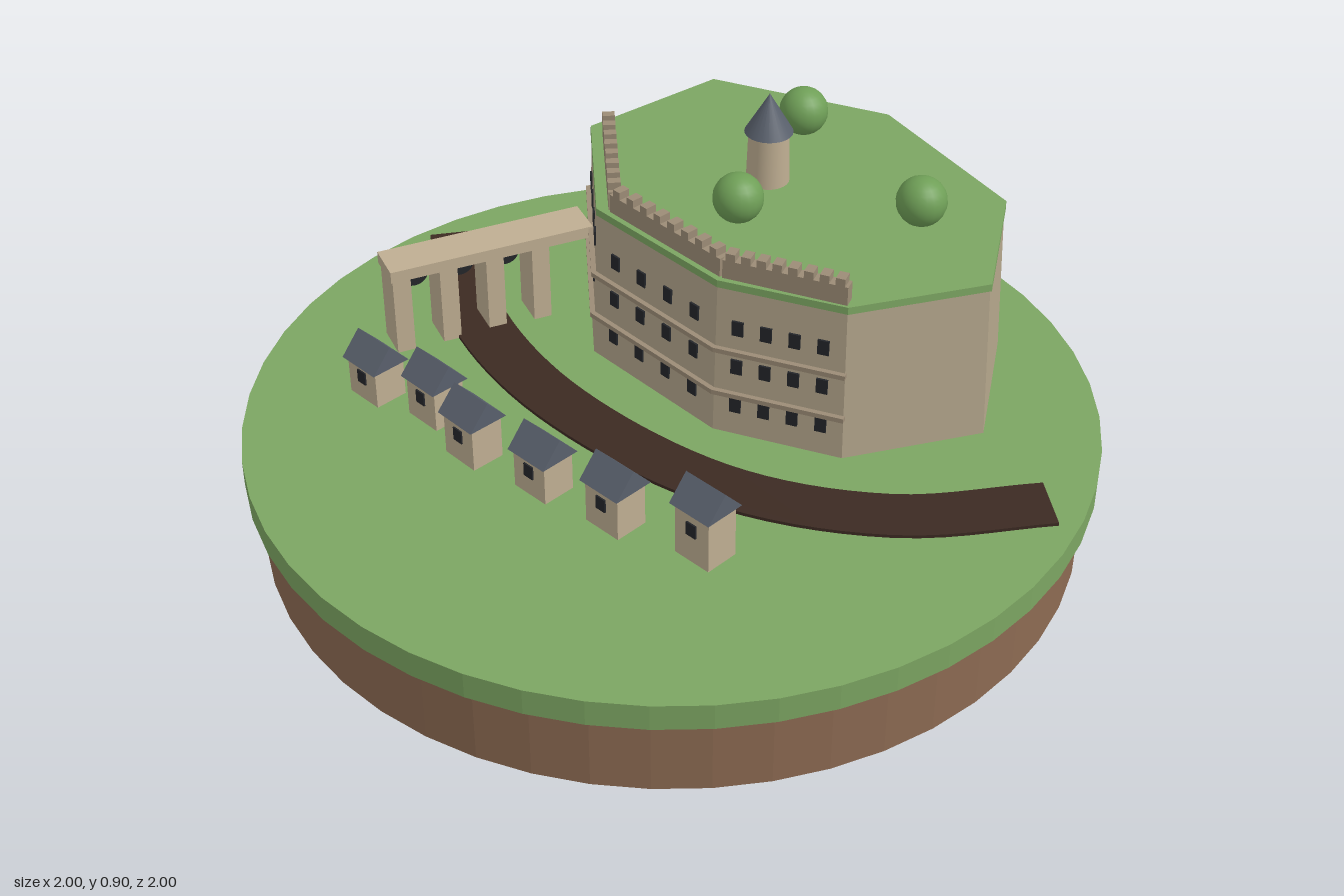
import * as THREE from 'three';

const mat = (name, color, extra = {}) => {
  const m = new THREE.MeshStandardMaterial({ color, ...extra });
  m.name = name;
  return m;
};

export function createModel() {
  const root = new THREE.Group();
  root.name = 'fortressIsland';
  const flat = { flatShading: true };
  const grass = mat('grass', 0x7ca562, flat);
  const earth = mat('earth', 0x8c6a52, flat);
  const rock = mat('rock', 0xb3a58b, flat);
  const stone = mat('paleStone', 0xbfae92);
  const trim = mat('trimStone', 0x9c8c76);
  const slate = mat('slate', 0x59606c);
  const dark = mat('darkOpening', 0x24262a);
  const road = mat('roadBrown', 0x3c2a22);
  const leaf = mat('foliage', 0x6f9f57);

  const add = (name, geo, m, x = 0, y = 0, z = 0, ry = 0, parent = root) => {
    const mesh = new THREE.Mesh(geo, m);
    mesh.name = name;
    mesh.position.set(x, y, z);
    mesh.rotation.y = ry;
    parent.add(mesh);
    return mesh;
  };
  const box = (w, h, d) => new THREE.BoxGeometry(w, h, d);
  const group = (name, x = 0, y = 0, z = 0, ry = 0) => {
    const g = new THREE.Group();
    g.name = name;
    g.position.set(x, y, z);
    g.rotation.y = ry;
    root.add(g);
    return g;
  };
  // heading of the line a-b, so that local +x runs from a to b
  const heading = (a, b) => -Math.atan2(b[1] - a[1], b[0] - a[0]);
  const mix = (a, b, t) => [a[0] + (b[0] - a[0]) * t, a[1] + (b[1] - a[1]) * t];
  const G = 0.265; // ground level

  // Island base
  add('earthBase', new THREE.CylinderGeometry(0.97, 0.97, 0.2, 48), earth, 0, 0.1);
  add('grassDisc', new THREE.CylinderGeometry(1, 1, G - 0.2, 48), grass, 0, (G + 0.2) / 2);

  // Tapered octagonal rock with a grass cap
  const C = [-0.03, -0.43];
  const outline = [[-0.13, -0.86], [0.35, -0.76], [0.565, -0.46], [0.41, -0.15],
    [0.13, -0.01], [-0.29, -0.01], [-0.6, -0.26], [-0.57, -0.66]];
  const shrink = (p, s) => mix(C, p, s);
  const frustum = (y0, y1, s0, s1) => {
    const v = [];
    const at = (p, s, y) => { const q = shrink(p, s); return [q[0], y, q[1]]; };
    outline.forEach((a, i) => {
      const b = outline[(i + 1) % outline.length];
      const a0 = at(a, s0, y0), b0 = at(b, s0, y0), a1 = at(a, s1, y1), b1 = at(b, s1, y1);
      v.push(...b0, ...a0, ...a1, ...b0, ...a1, ...b1);
      v.push(C[0], y1, C[1], ...b1, ...a1, C[0], y0, C[1], ...a0, ...b0);
    });
    const g = new THREE.BufferGeometry();
    g.setAttribute('position', new THREE.Float32BufferAttribute(v, 3));
    g.computeVertexNormals();
    return g;
  };
  const TOP = 0.67;
  add('rockWalls', frustum(G, 0.652, 1, 0.967), rock);
  add('plateauGrass', frustum(0.652, TOP, 0.975, 0.973), grass);

  // Windows and string courses on the three front faces
  const facade = group('facade');
  const front = [outline[6], outline[5], outline[4], outline[3]];
  const scaleAt = (y) => 1 - 0.033 * (y - G) / (0.652 - G);
  for (let i = 0; i < 3; i++) {
    const ry = heading(front[i], front[i + 1]);
    const edge = (y) => [shrink(front[i], scaleAt(y)), shrink(front[i + 1], scaleAt(y))];
    for (const y of [0.375, 0.49]) {
      const [a, b] = edge(y), m = mix(a, b, 0.5);
      add('stringCourse', box(Math.hypot(b[0] - a[0], b[1] - a[1]) + 0.006, 0.012, 0.024),
        trim, m[0], y, m[1], ry, facade);
    }
    for (const y of [0.345, 0.45, 0.553]) {
      const [a, b] = edge(y);
      for (let k = 0; k < 4; k++) {
        const p = mix(a, b, 0.17 + 0.22 * k);
        add('window', box(0.027, 0.038, 0.009), dark, p[0], y, p[1], ry, facade);
      }
    }
  }

  // Battlements
  const parapet = group('battlements');
  const path = [[-0.53, -0.275], [-0.25, -0.05], [0.12, -0.05], [0.385, -0.175]];
  for (let i = 0; i < 3; i++) {
    const a = path[i], b = path[i + 1], ry = heading(a, b), m = mix(a, b, 0.5);
    const len = Math.hypot(b[0] - a[0], b[1] - a[1]);
    add('parapetWall', box(len, 0.047, 0.03), trim, m[0], TOP + 0.0235, m[1], ry, parapet);
    for (let k = 0; k < 8; k++) {
      const p = mix(a, b, (k + 0.5) / 8);
      add('merlon', box(0.022, 0.02, 0.03), trim, p[0], TOP + 0.056, p[1], ry, parapet);
    }
  }

  // Round tower and trees on the plateau
  add('towerShaft', new THREE.CylinderGeometry(0.048, 0.052, 0.135, 24), stone, -0.11, 0.735, -0.41);
  add('towerRoof', new THREE.ConeGeometry(0.058, 0.1, 24), slate, -0.11, 0.85, -0.41);
  for (const [x, z] of [[-0.215, -0.635], [0.265, -0.535], [-0.03, -0.235]])
    add('tree', new THREE.SphereGeometry(0.06, 20, 14), leaf, x, 0.726, z);

  // Curved road
  const curve = new THREE.CatmullRomCurve3([[-0.93, -0.09], [-0.62, 0.1], [-0.2, 0.19],
    [0.3, 0.125], [0.63, -0.08], [0.84, -0.37]].map(([x, z]) => new THREE.Vector3(x, -z, 0)));
  const left = [], right = [];
  for (let i = 0; i <= 40; i++) {
    const p = curve.getPointAt(i / 40), t = curve.getTangentAt(i / 40);
    left.push(new THREE.Vector2(p.x - t.y * 0.071, p.y + t.x * 0.071));
    right.unshift(new THREE.Vector2(p.x + t.y * 0.071, p.y - t.x * 0.071));
  }
  const roadGeo = new THREE.ExtrudeGeometry(new THREE.Shape([...left, ...right]),
    { depth: 0.008, bevelEnabled: false });
  roadGeo.rotateX(-Math.PI / 2);
  add('road', roadGeo, road, 0, G);

  // Viaduct: local +x runs from its outer end to the rock
  const va = [-0.65, 0.335], vb = [-0.485, -0.155], vm = mix(va, vb, 0.5);
  const len = Math.hypot(vb[0] - va[0], vb[1] - va[1]);
  const viaduct = group('viaduct', vm[0], 0, vm[1], heading(va, vb));
  add('deck', box(len, 0.03, 0.102), stone, 0, 0.485, 0, 0, viaduct);
  for (let i = 0; i < 4; i++) {
    const x = -len / 2 + 0.027 + i * 0.118;
    add('pier', box(0.045, 0.205, 0.092), stone, x, G + 0.1025, 0, 0, viaduct);
    if (i < 3) {
      const disc = new THREE.CylinderGeometry(0.036, 0.036, 0.008, 24).rotateX(Math.PI / 2);
      add('archOpening', disc, dark, x + 0.059, 0.42, -0.049, 0, viaduct);
    }
  }

  // Row of houses: x, z, wall height, turn
  const gable = new THREE.Shape([[-0.052, 0], [0.052, 0], [0, 0.058]].map((p) => new THREE.Vector2(...p)));
  const roofGeo = new THREE.ExtrudeGeometry(gable, { depth: 0.116, bevelEnabled: false });
  roofGeo.translate(0, 0, -0.058).rotateY(Math.PI / 2);
  for (const [x, z, h, turn] of [[-0.51, 0.475, 0.097, 0.04], [-0.345, 0.428, 0.107, 0.03],
    [-0.17, 0.455, 0.112, 0.02], [0.03, 0.415, 0.102, 0.05], [0.23, 0.377, 0.112, 0.05],
    [0.44, 0.305, 0.135, 0.05]]) {
    const house = group('house', x, G, z, turn);
    add('houseWalls', box(0.1, h, 0.084), stone, 0, h / 2, 0, 0, house);
    add('houseRoof', roofGeo, slate, 0, h, 0, 0, house);
    add('houseWindow', box(0.028, 0.034, 0.008), dark, 0, h * 0.66, 0.042, 0, house);
  }
  return root;
}
